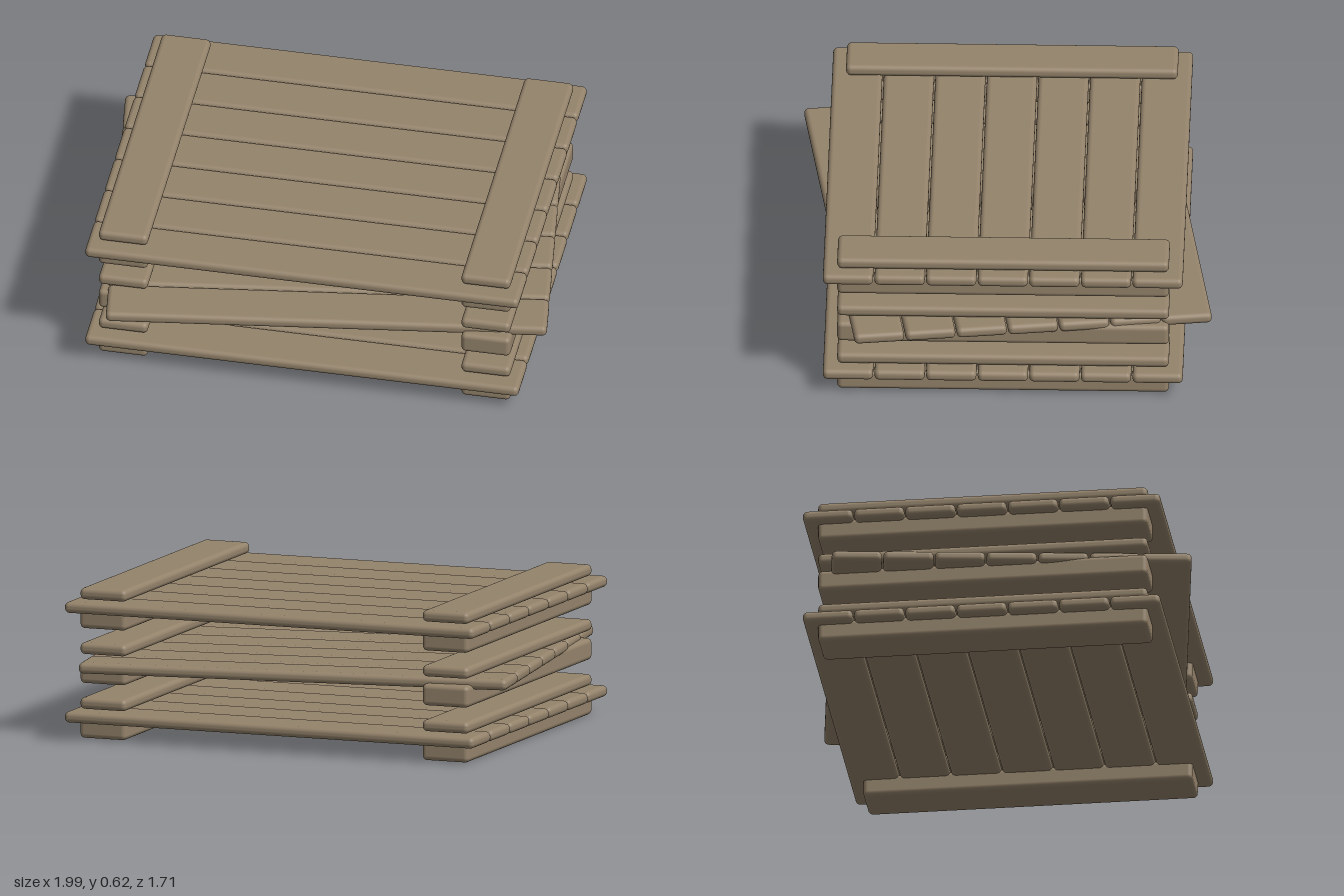
import * as THREE from 'three';
import { RoundedBoxGeometry } from 'three/addons/geometries/RoundedBoxGeometry.js';

const SLATS = 7, PITCH = 0.2115, LEVEL = 0.2275;

export function createModel() {
  const model = new THREE.Group();
  const wood = new THREE.MeshStandardMaterial({ color: 0x94836b });

  const slatGeo = new RoundedBoxGeometry(1.81, 0.046, 0.206, 3, 0.02);
  const runnerGeo = new RoundedBoxGeometry(0.205, 0.09, 1.36, 3, 0.02);
  const battenGeo = new RoundedBoxGeometry(0.205, 0.048, 1.36, 3, 0.02);

  const add = (parent, name, geo, x, y, z) => {
    const mesh = new THREE.Mesh(geo, wood);
    mesh.name = name;
    mesh.position.set(x, y, z);
    parent.add(mesh);
  };

  // Three stacked pallets; the middle deck is twisted between its runners
  for (let level = 0; level < 3; level++) {
    const pallet = new THREE.Group();
    pallet.name = 'pallet';
    pallet.position.y = level * LEVEL;

    // Deck of parallel slats
    const deck = new THREE.Group();
    deck.name = 'deck';
    deck.rotation.y = level === 1 ? THREE.MathUtils.degToRad(8) : 0;
    for (let i = 0; i < SLATS; i++) {
      add(deck, 'slat', slatGeo, 0, 0.092, (i - (SLATS - 1) / 2) * PITCH);
    }
    pallet.add(deck);

    // Thick runner below and thin batten above on each side
    for (const side of [-1, 1]) {
      add(pallet, 'runner', runnerGeo, side * 0.757, 0.045, 0);
      add(pallet, 'batten', battenGeo, side * 0.757, 0.144, 0);
    }
    model.add(pallet);
  }
  return model;
}
